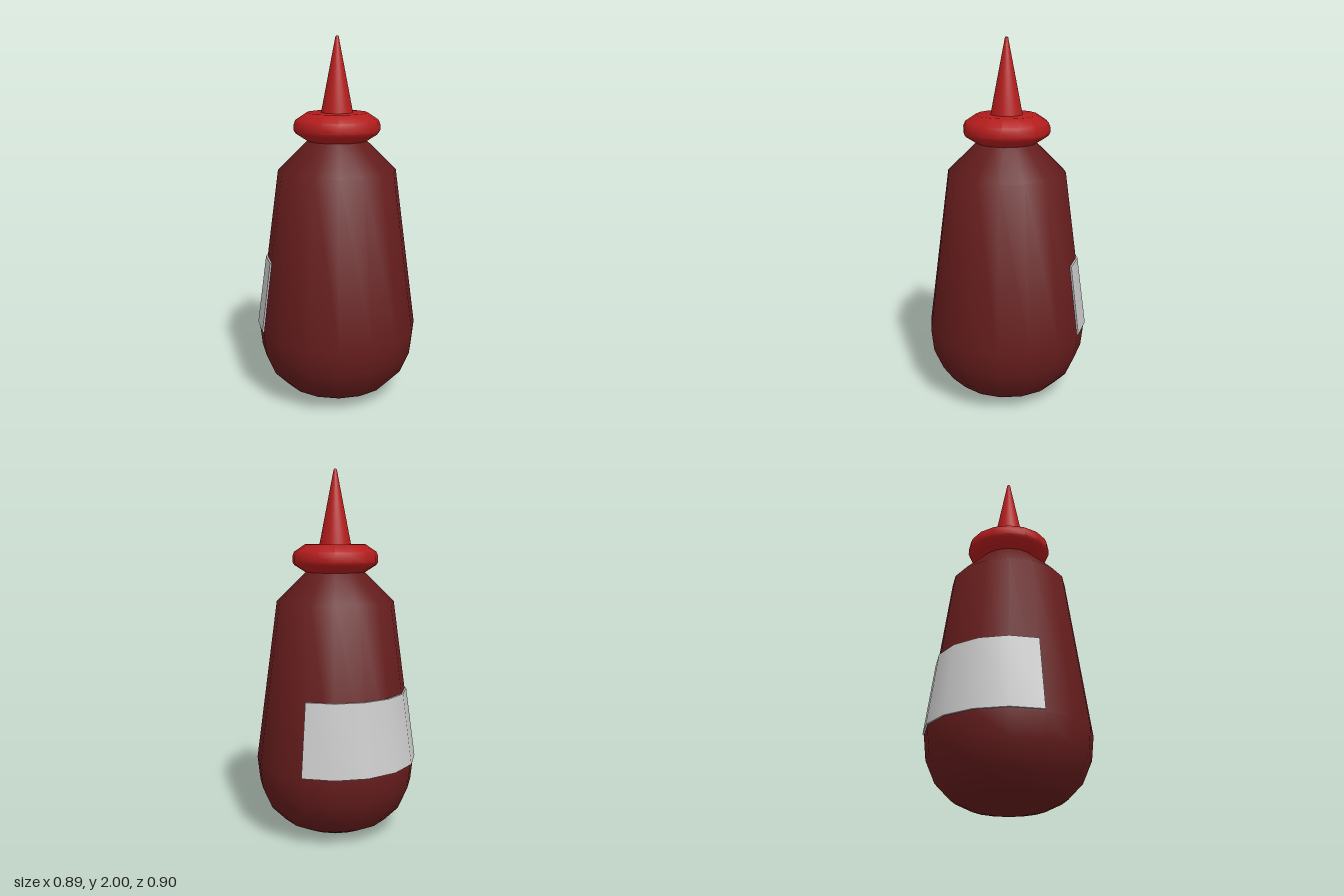
import * as THREE from 'three';
import { toCreasedNormals, mergeGeometries } from 'three/addons/utils/BufferGeometryUtils.js';

const SIDES = 16;
const STEP = (Math.PI * 2) / SIDES;

function lathe(profile, sides = SIDES, start = 0, length = Math.PI * 2) {
  return new THREE.LatheGeometry(profile.map(([r, y]) => new THREE.Vector2(r, y)), sides, start, length);
}

export function createModel() {
  const model = new THREE.Group();
  const add = (name, geometry, color) => {
    const mesh = new THREE.Mesh(geometry, new THREE.MeshStandardMaterial({ color }));
    mesh.name = name;
    mesh.position.z = 0.003;
    model.add(mesh);
  };

  // Squeezable body: rounded base, tapering wall, sloped shoulder
  add('bottleBody', toCreasedNormals(lathe([
    [0, 0], [0.1, 0.003], [0.2, 0.022], [0.3, 0.07], [0.378, 0.15], [0.43, 0.27],
    [0.444, 0.4], [0.323, 1.29], [0.16, 1.45], [0, 1.45],
  ]), 0.75), 0x651c1c);

  // Screw cap: a bevelled collar
  add('cap', toCreasedNormals(lathe([
    [0, 1.45], [0.165, 1.45], [0.225, 1.488], [0.235, 1.505], [0.235, 1.535],
    [0.225, 1.56], [0.165, 1.6], [0, 1.6],
  ]), 0.6), 0xb31c1c);

  // Pointed nozzle with a small flat tip
  add('nozzle', toCreasedNormals(lathe([
    [0.087, 1.595], [0.009, 1.995], [0.006, 2], [0, 2],
  ], 32), 0.6), 0xb31c1c);

  // Label: thin band wrapped round the back, following the wall's taper
  const section = [[0.438, 0.41], [0.452, 0.41], [0.399, 0.8], [0.385, 0.8]];
  const start = Math.PI - 3 * STEP;
  const band = lathe([...section, section[0]], 6, start, 6 * STEP);
  const endCap = (angle, flip) => {
    const shape = new THREE.Shape(section.map(([r, y]) => new THREE.Vector2(r, y)));
    const cap = new THREE.ShapeGeometry(shape);
    if (flip) cap.index.array.reverse();
    return cap.rotateY(angle - Math.PI / 2);
  };
  const label = mergeGeometries([band, endCap(start, false), endCap(start + 6 * STEP, true)]);
  add('label', toCreasedNormals(label, 0.6), 0xcccccc);

  return model;
}
